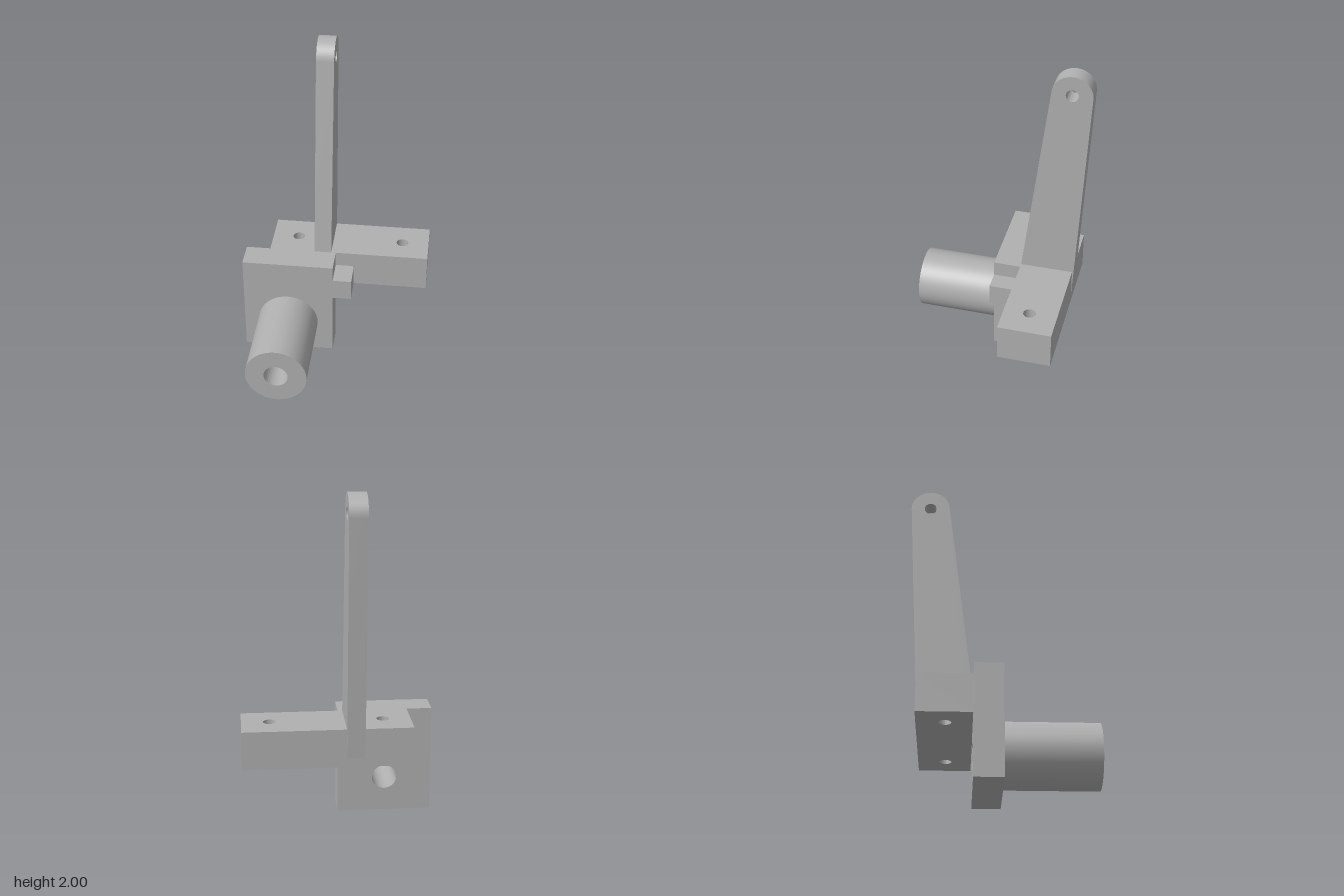
import * as THREE from 'three';
import { toCreasedNormals } from 'three/addons/utils/BufferGeometryUtils.js';

const metal = new THREE.MeshStandardMaterial({ color: 0xb0b0b0 });
metal.name = 'grey metal';

function rect(x0, y0, x1, y1) {
  return new THREE.Shape([[x0, y0], [x1, y0], [x1, y1], [x0, y1]].map(p => new THREE.Vector2(...p)));
}

function addHole(shape, x, y, r) {
  const hole = new THREE.Path();
  hole.absarc(x, y, r, 0, Math.PI * 2, true);
  shape.holes.push(hole);
}

function extrude(shape, depth) {
  return new THREE.ExtrudeGeometry(shape, { depth, bevelEnabled: false, curveSegments: 48 });
}

function part(name, geometry) {
  const mesh = new THREE.Mesh(toCreasedNormals(geometry, 0.5), metal);
  mesh.name = name;
  return mesh;
}

export function createModel() {
  const group = new THREE.Group();
  group.name = 'leverBracket';
  const back = -0.155, front = 0.01;
  const boreX = -0.29, boreY = 0.215, boreR = 0.074;

  // Upright plate with the bore running through it
  const plate = rect(-0.57, 0, -0.005, 0.65);
  addHole(plate, boreX, boreY, boreR);
  group.add(part('mountingPlate', extrude(plate, front - back).translate(0, 0, back)));

  // Hollow round boss
  const boss = new THREE.Shape();
  boss.absarc(boreX, boreY, 0.188, 0, Math.PI * 2, false);
  addHole(boss, boreX, boreY, boreR);
  group.add(part('boss', extrude(boss, 0.535).translate(0, 0, front)));

  // Small step beside the plate
  group.add(part('sideTab', extrude(rect(-0.005, 0.42, 0.11, 0.555), front - back).translate(0, 0, back)));

  // Cross bar with two vertical screw holes, drawn from above
  const bar = rect(-0.42, -back, 0.57, 0.475);
  for (const x of [-0.257, 0.405]) addHole(bar, x, 0.31, 0.037);
  group.add(part('crossBar', extrude(bar, 0.23).rotateX(-Math.PI / 2).translate(0, 0.42, 0)));

  // Tapered lever with rounded, drilled tip, drawn from the side (z, y)
  const lever = new THREE.Shape();
  lever.moveTo(-0.474, 0.45);
  lever.lineTo(-0.2, 0.45);
  lever.lineTo(-0.2, 0.65);
  lever.lineTo(back, 0.65);
  lever.absarc(-0.427, 1.882, 0.118, 0.121, Math.PI + 0.046, false);
  lever.closePath();
  addHole(lever, -0.427, 1.882, 0.037);
  group.add(part('lever', extrude(lever, 0.106).rotateY(-Math.PI / 2).translate(-0.033, 0, 0)));

  return group;
}
